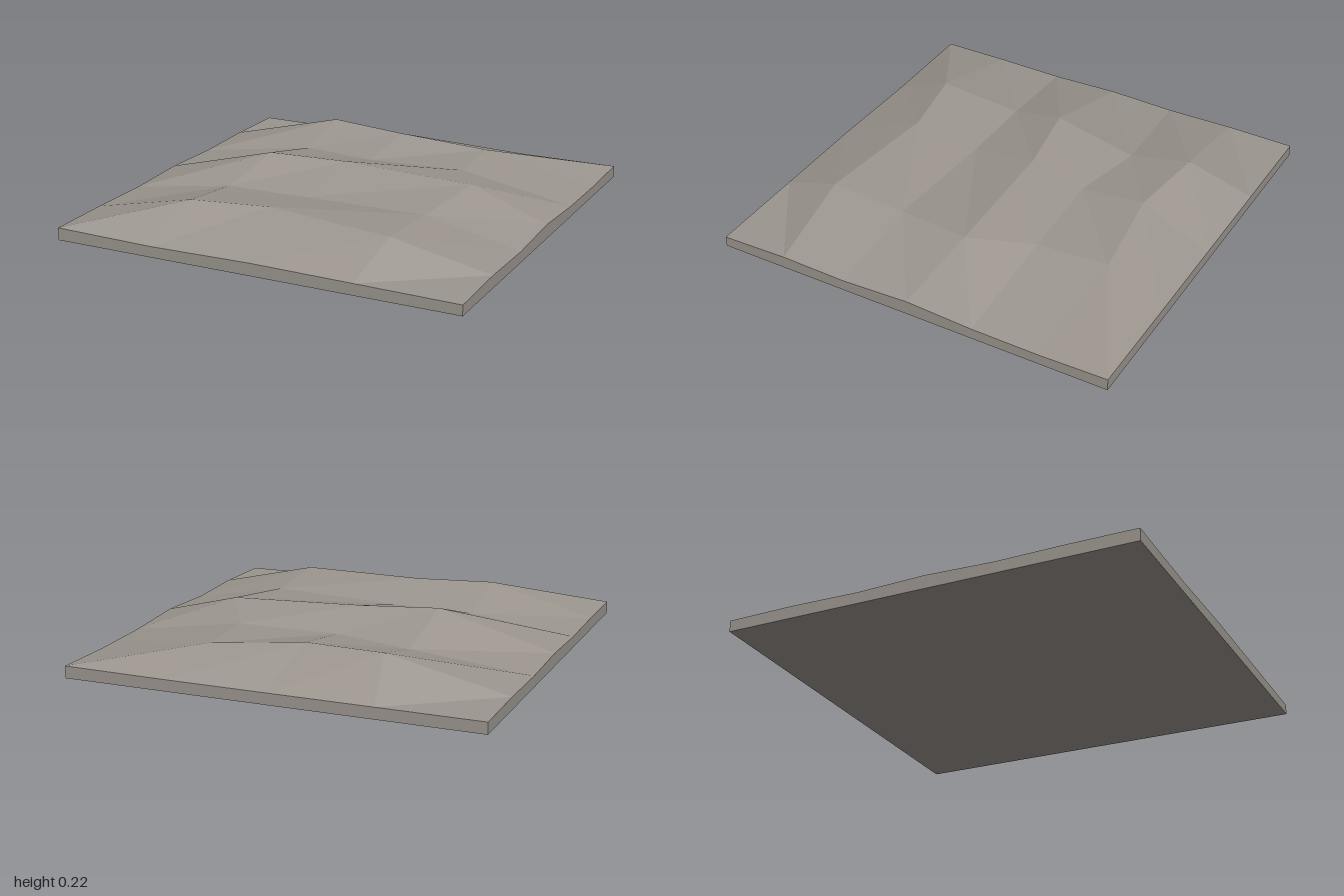
import * as THREE from 'three';

// Interior crests and hollows, back to front: [x, z, height] for three columns
const inner = [
  [[-0.43, -0.70, 0.20], [-0.03, -0.65, 0.19], [0.42, -0.70, 0.15]],
  [[-0.43, -0.39, 0.13], [-0.05, -0.32, 0.14], [0.44, -0.35, 0.147]],
  [[-0.43, 0.01, 0.22], [-0.05, -0.05, 0.21], [0.60, -0.06, 0.185]],
  [[-0.50, 0.30, 0.125], [-0.10, 0.30, 0.13], [0.53, 0.32, 0.145]],
  [[-0.47, 0.70, 0.185], [-0.10, 0.63, 0.185], [0.53, 0.70, 0.168]],
];
// Rim heights
const backRim = [0.055, 0.055, 0.055, 0.055, 0.058];
const frontRim = [0.06, 0.052, 0.06, 0.055, 0.05];
const leftRim = [0.058, 0.05, 0.053, 0.07, 0.053, 0.06, 0.05];
const rightRim = [0.055, 0.06, 0.055, 0.065, 0.055, 0.06, 0.06];

// Position of the top vertex in a given column and row
function surfacePoint(col, row) {
  const x = -1 + col * 0.5;
  const z = -1 + row / 3;
  if (col === 0) return [x, rightRim[row], z];
  if (col === 4) return [x, leftRim[row], z];
  if (row === 0) return [x, backRim[col], z];
  if (row === 6) return [x, frontRim[col], z];
  const [px, pz, h] = inner[row - 1][col - 1];
  return [px, h, pz];
}

export function createModel() {
  const group = new THREE.Group();
  group.name = 'rippledGroundTile';
  const stone = new THREE.MeshStandardMaterial({ color: 0x9b958e });
  stone.name = 'warm grey';

  // Slab whose upper vertices are pushed into low ridges
  const slab = new THREE.BoxGeometry(2, 1, 2, 4, 1, 6);
  const pos = slab.attributes.position;
  for (let i = 0; i < pos.count; i++) {
    if (pos.getY(i) > 0) {
      const col = Math.round((pos.getX(i) + 1) * 2);
      const row = Math.round((pos.getZ(i) + 1) * 3);
      pos.setXYZ(i, ...surfacePoint(col, row));
    } else {
      pos.setY(i, 0);
    }
  }

  // Separate faces for a faceted look
  const faceted = slab.toNonIndexed();
  faceted.computeVertexNormals();
  const mesh = new THREE.Mesh(faceted, stone);
  mesh.name = 'ground';
  group.add(mesh);
  return group;
}
